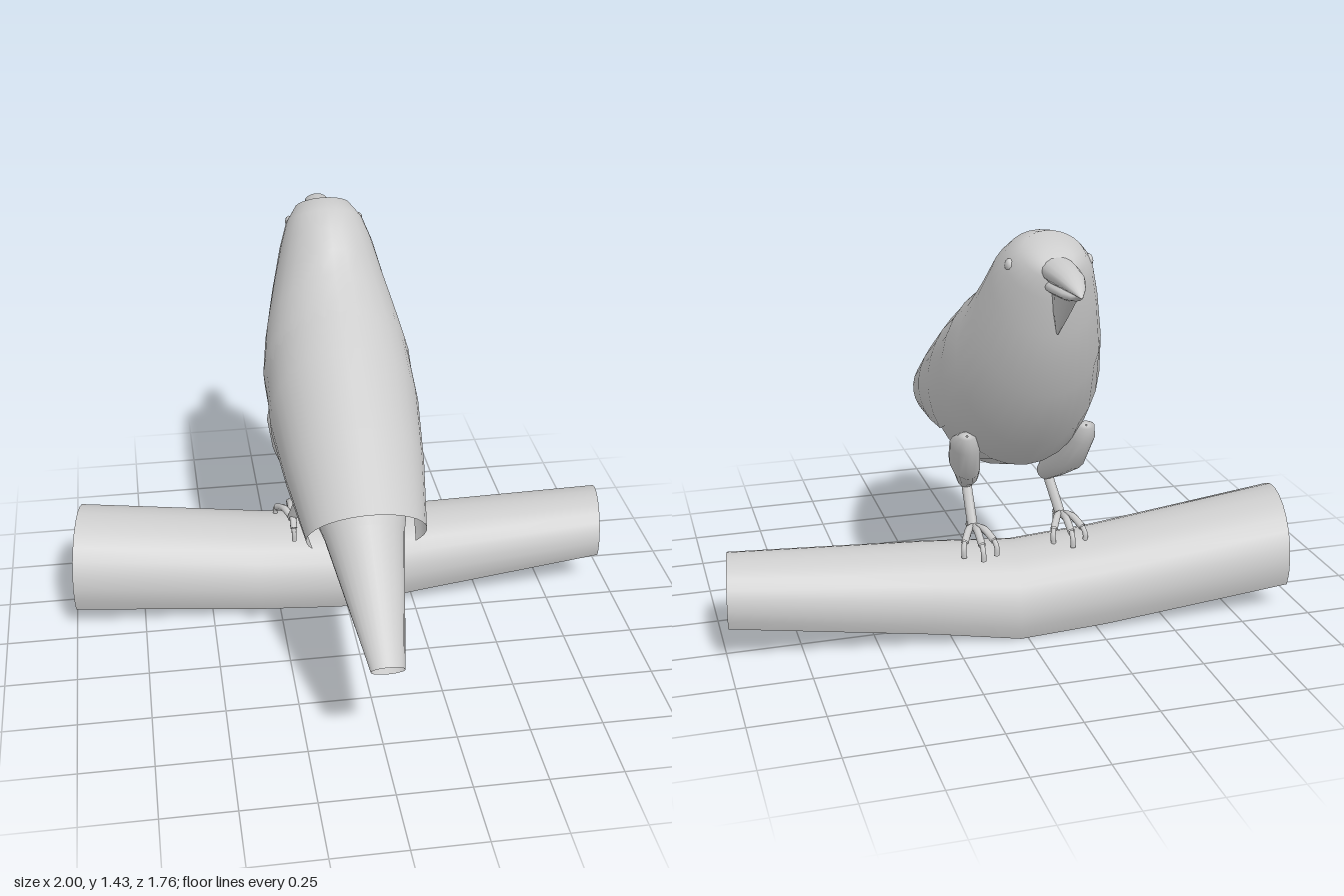
import * as THREE from 'three';

const mat = new THREE.MeshStandardMaterial({ color: 0xcccccc, side: THREE.DoubleSide });
const MID = -0.01; // the bird's plane of symmetry
const RAD = Math.PI / 180;

// Skin a list of rings of points
function loft(name, rings, closed) {
  const n = rings[0].length, pos = [], idx = [];
  rings.forEach(r => r.forEach(p => pos.push(p.x, p.y, p.z)));
  for (let i = 0; i < rings.length - 1; i++) {
    for (let j = 0; j < (closed ? n : n - 1); j++) {
      const k = (j + 1) % n, a = i * n + j, b = i * n + k;
      idx.push(a, a + n, b, b, a + n, b + n);
    }
  }
  const g = new THREE.BufferGeometry();
  g.setAttribute('position', new THREE.Float32BufferAttribute(pos, 3));
  g.setIndex(idx);
  g.computeVertexNormals();
  const m = new THREE.Mesh(g, mat);
  m.name = name;
  return m;
}

// Tilted ellipse from its top and bottom points in the side plane and half width
function ring([zt, yt, zb, yb, hw, x = MID], n = 28, from = 0, to = 360) {
  const closed = to - from === 360, pts = [];
  for (let j = 0; j < (closed ? n : n + 1); j++) {
    const t = (from + (to - from) * j / n) * RAD, s = Math.sin(t);
    pts.push(new THREE.Vector3(x + hw * Math.cos(t),
      (yt + yb) / 2 + s * (yt - yb) / 2, (zt + zb) / 2 + s * (zt - zb) / 2));
  }
  return pts;
}
const solid = (name, sections, n) => loft(name, sections.map(s => ring(s, n)), true);

function tube(name, pts, r, seg = 8) {
  const curve = new THREE.CatmullRomCurve3(pts.map(p => new THREE.Vector3(...p)));
  const m = new THREE.Mesh(new THREE.TubeGeometry(curve, seg, r, 7), mat);
  m.name = name;
  return m;
}

function createLeg(side) {
  const leg = new THREE.Group();
  leg.name = side > 0 ? 'leftLeg' : 'rightLeg';
  const X = x => MID + side * x;

  // feathered thigh, narrowing to the knee
  leg.add(solid('thigh', [
    [-0.09, 0.475, -0.1, 0.465, 0.004, X(0.145)],
    [-0.075, 0.50, -0.12, 0.45, 0.03, X(0.145)],
    [-0.11, 0.56, -0.22, 0.50, 0.042, X(0.16)],
    [-0.17, 0.635, -0.31, 0.555, 0.052, X(0.185)],
    [-0.25, 0.70, -0.36, 0.66, 0.05, X(0.2)],
    [-0.33, 0.732, -0.37, 0.715, 0.03, X(0.205)],
    [-0.35, 0.726, -0.355, 0.722, 0.003, X(0.205)],
  ], 14));

  // shin
  const fx = side > 0 ? 0.135 : -0.19, fz = side > 0 ? -0.195 : -0.165, fy = 0.335;
  leg.add(tube('shin', [[X(0.145), 0.49, -0.095], [fx, fy, fz]], 0.018, 2));

  // three front toes and one back toe, each ending in a curved claw
  for (const [dx, dz] of [[-0.045, -0.11], [0.005, -0.14], [0.055, -0.1], [0, 0.05]]) {
    leg.add(tube('toe', [[fx, fy, fz], [fx + dx * 0.5, fy + 0.012, fz + dz * 0.5],
      [fx + dx, fy - 0.012, fz + dz]], 0.013));
    const claw = tube('claw', [[fx + dx, fy - 0.01, fz + dz],
      [fx + dx * 1.12, fy - 0.03, fz + dz * 1.14], [fx + dx * 1.1, fy - 0.06, fz + dz * 1.16]], 0.009, 5);
    leg.add(claw);
  }
  return leg;
}

export function createModel() {
  const model = new THREE.Group();
  model.name = 'birdOnBranch';

  // tail, belly, breast and head in one skin; the tail tip stays open
  model.add(solid('body', [
    [0.885, 0.415, 0.872, 0.38, 0.055],
    [0.50, 0.70, 0.30, 0.50, 0.135],
    [0.0, 1.085, -0.10, 0.515, 0.255],
    [-0.16, 1.193, -0.34, 0.60, 0.263],
    [-0.27, 1.25, -0.455, 0.705, 0.242],
    [-0.33, 1.32, -0.60, 0.92, 0.203],
    [-0.385, 1.382, -0.655, 1.13, 0.168],
    [-0.455, 1.42, -0.68, 1.25, 0.138],
    [-0.54, 1.435, -0.685, 1.315, 0.10],
    [-0.62, 1.40, -0.68, 1.345, 0.05],
    [-0.655, 1.375, -0.66, 1.37, 0.003],
  ]));

  // folded wings: an open shell over the back
  model.add(loft('foldedWings', [
    [0.54, 0.76, 0.353, 0.493, 0.2],
    [0.27, 0.93, 0.127, 0.504, 0.237],
    [0.0, 1.097, -0.10, 0.515, 0.262],
    [-0.16, 1.19, -0.34, 0.62, 0.258],
  ].map(s => ring(s, 24, -30, 210)), false));

  // beak halves and the throat feathers beneath
  model.add(solid('upperBeak', [
    [-0.62, 1.378, -0.62, 1.30, 0.058],
    [-0.70, 1.374, -0.70, 1.30, 0.053],
    [-0.78, 1.364, -0.78, 1.305, 0.043],
    [-0.84, 1.34, -0.84, 1.307, 0.025],
    [-0.88, 1.307, -0.878, 1.304, 0.002],
  ], 16));
  model.add(solid('lowerBeak', [
    [-0.62, 1.32, -0.62, 1.268, 0.05],
    [-0.70, 1.318, -0.70, 1.27, 0.046],
    [-0.79, 1.314, -0.79, 1.277, 0.034],
    [-0.835, 1.312, -0.835, 1.287, 0.02],
    [-0.86, 1.309, -0.86, 1.306, 0.002],
  ], 16));
  model.add(solid('throat', [
    [-0.64, 1.285, -0.81, 1.285, 0.032],
    [-0.64, 1.21, -0.735, 1.21, 0.02],
    [-0.65, 1.14, -0.665, 1.14, 0.003],
  ], 12));

  // eyes
  for (const side of [1, -1]) {
    const eye = new THREE.Mesh(new THREE.SphereGeometry(0.021, 12, 8), mat);
    eye.name = side > 0 ? 'leftEye' : 'rightEye';
    eye.position.set(MID + side * 0.126, 1.34, -0.567);
    eye.scale.x = 0.7;
    model.add(eye, createLeg(side));
  }

  // bent branch, hollow and open below: x, centre z, half depth, top, bottom
  const branch = [
    [-0.97, -0.245, 0.215, 0.38, 0.09],
    [-0.3, -0.24, 0.205, 0.297, 0.02],
    [0, -0.235, 0.2, 0.275, 0.0],
    [0.3, -0.222, 0.185, 0.297, 0.045],
    [0.978, -0.2, 0.15, 0.33, 0.13],
  ].map(([x, zc, hw, top, bottom]) => {
    const ry = (top - bottom) / (1 + Math.sin(25 * RAD)), pts = [];
    for (let j = 0; j <= 16; j++) {
      const t = (-25 + 230 * j / 16) * RAD, dz = hw * Math.cos(t);
      pts.push(new THREE.Vector3(x - dz * 0.14, top - ry + ry * Math.sin(t), zc + dz));
    }
    return pts;
  });
  model.add(loft('branch', branch, false));

  return model;
}
